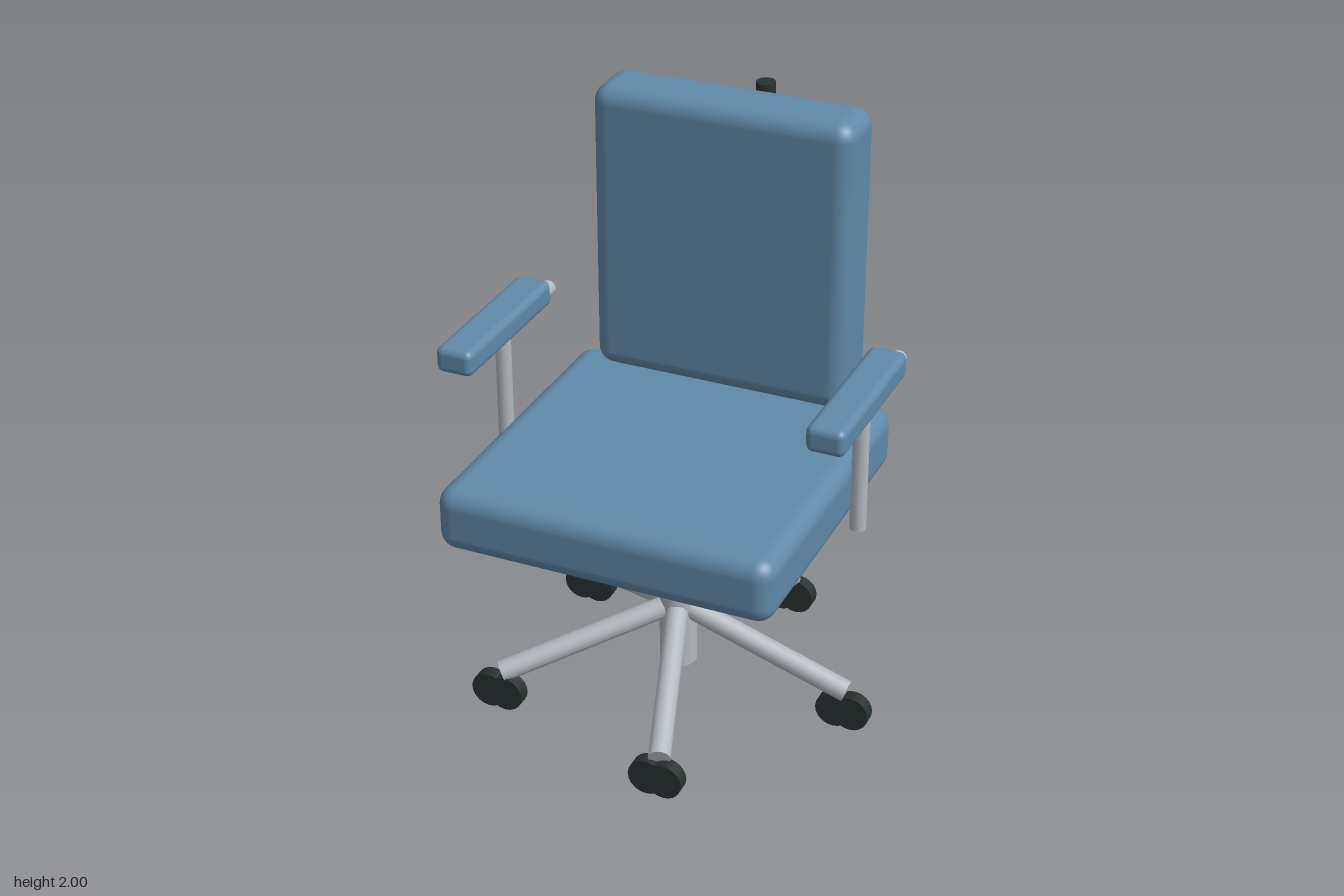
import * as THREE from 'three';
import { RoundedBoxGeometry } from 'three/addons/geometries/RoundedBoxGeometry.js';

const fabric = new THREE.MeshStandardMaterial({ name: 'blueFabric', color: 0x6089a8 });
const metal = new THREE.MeshStandardMaterial({ name: 'greyMetal', color: 0xb2b8be, side: THREE.DoubleSide });
const plastic = new THREE.MeshStandardMaterial({ name: 'darkPlastic', color: 0x28312f });

const V = (x, y, z) => new THREE.Vector3(x, y, z);

function add(parent, name, geometry, material) {
  const mesh = new THREE.Mesh(geometry, material);
  mesh.name = name;
  parent.add(mesh);
  return mesh;
}

// Rounded block given by its limits on each axis
function block(parent, name, [x0, x1], [y0, y1], [z0, z1], radius, material) {
  const geo = new RoundedBoxGeometry(x1 - x0, y1 - y0, z1 - z0, 5, radius);
  const mesh = add(parent, name, geo, material);
  mesh.position.set((x0 + x1) / 2, (y0 + y1) / 2, (z0 + z1) / 2);
  return mesh;
}

// Straight round bar between two points
function bar(parent, name, a, b, radius, material, sides = 16) {
  const dir = b.clone().sub(a);
  const mesh = add(parent, name, new THREE.CylinderGeometry(radius, radius, dir.length(), sides), material);
  mesh.position.copy(a).add(b).multiplyScalar(0.5);
  mesh.quaternion.setFromUnitVectors(V(0, 1, 0), dir.normalize());
  return mesh;
}

export function createModel() {
  const chair = new THREE.Group();
  chair.name = 'officeChair';
  const cz = 0.077; // depth of the column axis

  // Cushions
  block(chair, 'seat', [-0.57, 0.57], [0.75, 0.97], [-0.41, 0.69], 0.06, fabric);
  block(chair, 'backrest', [-0.45, 0.45], [0.99, 2.0], [-0.465, -0.235], 0.06, fabric);

  // Column, tilt mechanism and lever
  bar(chair, 'column', V(0, 0.11, cz), V(0, 0.76, cz), 0.064, metal, 24);
  block(chair, 'tiltMechanism', [-0.21, 0.21], [0.585, 0.72], [-0.117, 0.27], 0.025, plastic);
  bar(chair, 'lever', V(0.15, 0.662, cz), V(0.475, 0.69, cz), 0.016, plastic, 12);

  // Five legs, each with a twin-wheel caster
  for (let i = 0; i < 5; i++) {
    const angle = (i * Math.PI * 2) / 5;
    const x = 0.61 * Math.cos(angle);
    const z = cz + 0.61 * Math.sin(angle);
    bar(chair, 'leg', V(0, 0.335, cz), V(x, 0.137, z), 0.037, metal);
    const caster = new THREE.Group();
    caster.name = 'caster';
    caster.position.set(x - 0.008, 0.065, z);
    for (const side of [-1, 1]) {
      const wheel = add(caster, 'wheel', new THREE.CylinderGeometry(0.063, 0.063, 0.046, 20), plastic);
      wheel.rotation.x = Math.PI / 2;
      wheel.position.x = side * 0.03;
    }
    chair.add(caster);
  }

  // Armrests: pad on a bent tube
  for (const side of [-1, 1]) {
    const arm = new THREE.Group();
    arm.name = side > 0 ? 'leftArm' : 'rightArm';
    const cx = side * 0.627;
    block(arm, 'armPad', [cx - 0.064, cx + 0.064], [1.23, 1.32], [-0.16, 0.42], 0.025, fabric);
    const path = new THREE.CurvePath();
    path.add(new THREE.LineCurve3(V(cx, 0.785, 0.08), V(cx, 1.225, 0.08)));
    path.add(new THREE.LineCurve3(V(cx, 1.225, 0.08), V(cx, 1.235, -0.26)));
    add(arm, 'armTube', new THREE.TubeGeometry(path, 40, 0.027, 14), metal);
    chair.add(arm);
  }

  // Bent spine behind the backrest
  const knee = V(0, 1.42, -0.658);
  bar(chair, 'lowerSpine', V(0, 0.86, -0.525), knee, 0.033, plastic);
  bar(chair, 'upperSpine', knee, V(0, 1.94, -0.64), 0.033, plastic);
  add(chair, 'spineKnee', new THREE.SphereGeometry(0.033, 16, 10), plastic).position.copy(knee);

  // Rib pairs of varying length, sweeping forward and up
  [0.19, 0.27, 0.31, 0.29, 0.21, 0.2, 0.26, 0.3].forEach((reach, i) => {
    const y = 1.09 + i * 0.098;
    for (const side of [-1, 1]) {
      bar(chair, 'rib', V(0, y, -0.655), V(side * reach, y + 0.055, -0.545), 0.016, plastic, 10);
    }
  });

  return chair;
}
